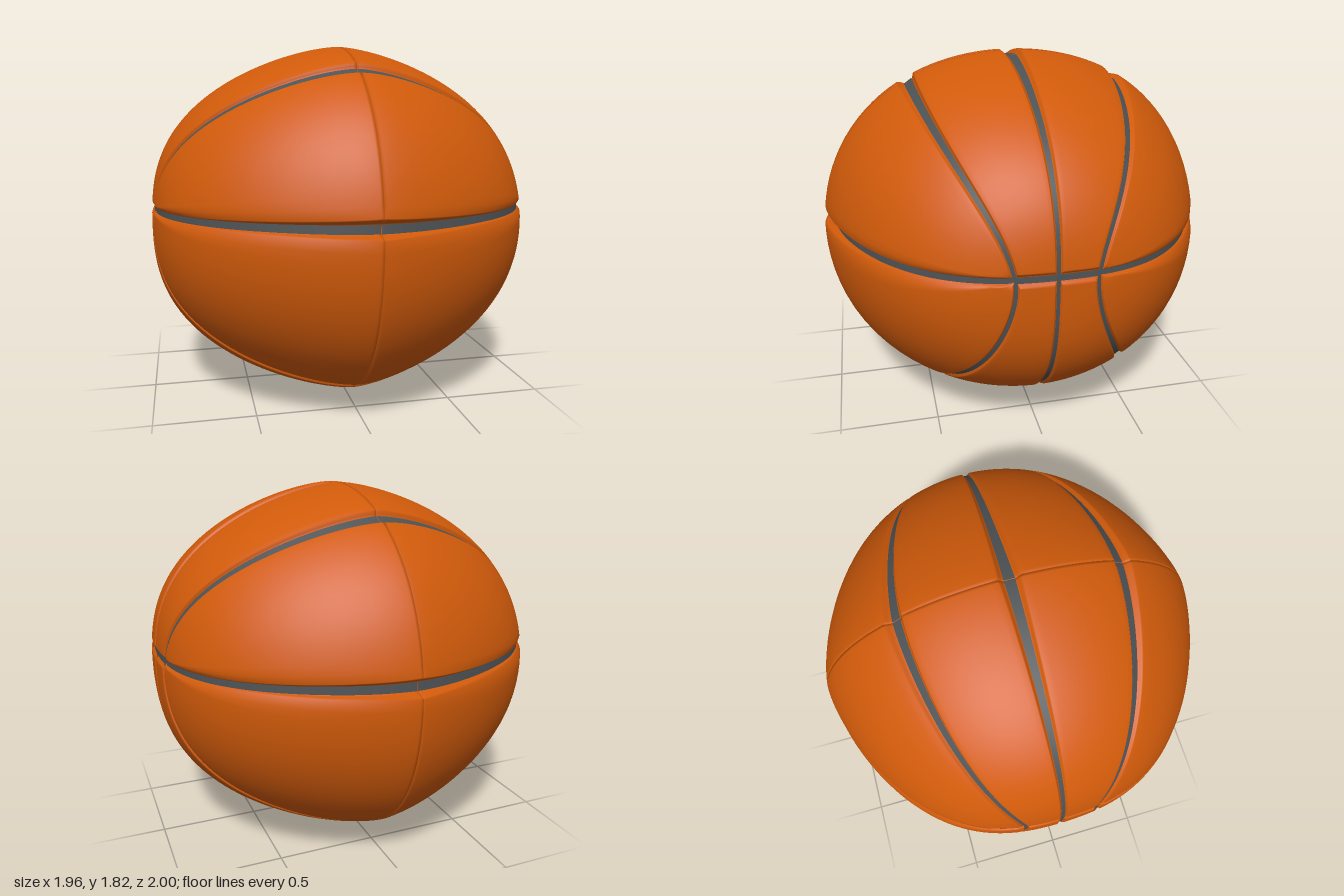
import * as THREE from 'three';

const RY = 0.91;          // half height, also the height of the centre
const V0 = 0.102;         // level of the equator seam on the unit sphere
const RE = Math.sqrt(1 - V0 * V0);
const U_RIM = 0.533, U_POLE = 0.187; // offset of the curved seams at the rim and near the side pole
const V_RIM = Math.sqrt(1 - U_RIM * U_RIM);
const V_MID = 0.05;       // level where the curved seams come closest together
const GAP = 0.0015;       // half of the hairline gap between the two halves
const CENTRE = new THREE.Vector3(0, RY, 0);

const orange = new THREE.MeshStandardMaterial({ color: 0xd05a0a });
const dark = new THREE.MeshStandardMaterial({ color: 0x4c5154, side: THREE.DoubleSide });

// Seam grooves: half width, depth, and how much each shrinks towards the side pole
const MERIDIAN = { w: 0.057, d: 0.03, wt: 0.68, dt: 0.6 };
const EQUATOR = { w: 0.048, d: 0.058, wt: 0.35, dt: 0.72 };
const grooveWidth = (s, cx) => s.w * (1 - s.wt * cx);
const grooveDepth = (s, cx) => s.d * (1 - s.dt * cx);

// Seam paths on the unit sphere, from the rim (t = 0) to the equator or pole (t = 1)
const sphere = (u, v) => new THREE.Vector3(Math.sqrt(Math.max(0, 1 - u * u - v * v)), v, u);
const { lerp, smoothstep } = THREE.MathUtils;

function middlePath(t, sy) {
  const a = lerp(sy * Math.PI / 2, Math.asin(V0), t);
  return new THREE.Vector3(Math.cos(a), Math.sin(a), 0);
}
function curvedPath(t, sy, sz) {
  const v = lerp(V0, sy * V_RIM, Math.max(0, Math.cos(t * Math.PI / 2)));
  const q = Math.abs(v - V_MID) / Math.abs(sy * V_RIM - V_MID);
  const spread = lerp(q ** 1.6, smoothstep(q, 0, 1), 0.3);
  return sphere(sz * lerp(U_POLE, U_RIM, spread), v);
}
function equatorPath(t, sz, end) {
  const a = lerp(Math.PI / 2, end, t);
  return new THREE.Vector3(RE * Math.cos(a), V0, sz * RE * Math.sin(a));
}
// Both curved seams meet the equator at this angle
const CROSSING = Math.asin(curvedPath(1, 1, 1).z / RE);

// Sphere direction to the ball surface: blunt side poles, a soft ridge at x = 0
function place(p, sx) {
  const r = Math.sqrt(Math.max(0, 1 - p.x * p.x));
  const x = GAP + 0.977 * Math.max(0, 1 - r ** 2.6) ** 0.67;
  const bulge = 1 + 0.08 * p.y * p.y * p.z * p.z;
  return new THREE.Vector3(sx * x, RY + RY * p.y * bulge, p.z * bulge);
}
const sink = (p, depth) => p.addScaledVector(p.clone().sub(CENTRE).normalize(), -depth);

function gridMesh(points, cols, rows, flip, material, name) {
  const index = [];
  for (let j = 0; j < rows - 1; j++) {
    for (let i = 0; i < cols - 1; i++) {
      const a = j * cols + i, b = a + 1, c = a + cols, d = c + 1;
      if (flip) index.push(a, c, b, b, c, d);
      else index.push(a, b, c, b, d, c);
    }
  }
  const geometry = new THREE.BufferGeometry().setFromPoints(points);
  geometry.setIndex(index);
  geometry.computeVertexNormals();
  const mesh = new THREE.Mesh(geometry, material);
  mesh.name = name;
  return mesh;
}

// Sample positions crowded near the seams, in multiples of the groove width
const FLOOR = 0.42;
const NEAR = [0, FLOOR, 0.58, 0.72, 0.86, 1];
function crowded(step, bothEnds, middle) {
  const e = Math.min(step, bothEnds ? 0.4 : 0.8);
  const start = bothEnds ? e : 0;
  const list = bothEnds ? NEAR.map(n => n * e) : [0];
  for (let i = 1; i < middle; i++) list.push(lerp(start, 1 - e, i / middle));
  return list.concat(NEAR.map(n => 1 - n * e).reverse());
}

function groove(seam, distance, cx) {
  const w = grooveWidth(seam, cx);
  return grooveDepth(seam, cx) * (1 - smoothstep(distance, FLOOR * w, w));
}

// One panel between two seam paths, optionally closed by a third seam at its end
function panel(pathA, pathB, seamA, seamB, seamEnd, sx, flip, name) {
  const rows = seamEnd ? crowded(0.03, false, 40) : Array.from({ length: 45 }, (_, i) => i / 44);
  rows.unshift(0); // extra row for the short wall turned in at the rim
  const points = [];
  const at = (a, b) => pathA(b).lerp(pathB(b), a).normalize();
  let cols = 0;
  rows.forEach((b, j) => {
    const A = place(pathA(b), sx), B = place(pathB(b), sx);
    const step = grooveWidth(seamA, pathA(b).x) / Math.max(A.distanceTo(B), 1e-4);
    const samples = crowded(step, true, 14);
    cols = samples.length;
    for (const a of samples) {
      const s = at(a, b), p = place(s, sx);
      let depth = Math.max(groove(seamA, p.distanceTo(A), s.x), groove(seamB, p.distanceTo(B), s.x));
      if (seamEnd) depth = Math.max(depth, groove(seamEnd, p.distanceTo(place(at(a, 1), sx)), s.x));
      points.push(sink(p, j === 0 ? depth + 0.015 : depth));
    }
  });
  return gridMesh(points, cols, rows.length, flip, orange, name);
}

// Dark strip lying on the floor of a groove
function ribbon(path, seam, sx, name) {
  const n = 96, points = [];
  for (let i = 0; i <= n; i++) {
    const t = i / n, s = path(t), p = place(s, sx);
    const tangent = place(path(Math.min(1, t + 0.01)), sx).sub(place(path(Math.max(0, t - 0.01)), sx));
    const side = tangent.cross(p.clone().sub(CENTRE)).normalize();
    if (s.x < 1e-3) side.setX(0).normalize();
    const half = 0.47 * grooveWidth(seam, s.x);
    sink(p, grooveDepth(seam, s.x) - 0.003);
    for (const k of [-1, 0, 1]) points.push(p.clone().addScaledVector(side, k * half));
  }
  return gridMesh(points, 3, n + 1, sx < 0, dark, name);
}

export function createModel() {
  const ball = new THREE.Group();
  ball.name = 'ball';
  for (const sx of [1, -1]) {
    const half = new THREE.Group();
    half.name = sx > 0 ? 'leftHalf' : 'rightHalf';
    for (const sy of [1, -1]) {
      const middle = t => middlePath(t, sy);
      for (const sz of [1, -1]) {
        const curved = t => curvedPath(t, sy, sz);
        const equator = t => equatorPath(t, sz, CROSSING);
        const flip = sx * sy * sz < 0;
        half.add(panel(middle, curved, MERIDIAN, MERIDIAN, EQUATOR, sx, flip, 'innerPanel'));
        half.add(panel(curved, equator, MERIDIAN, EQUATOR, null, sx, flip, 'outerPanel'));
        half.add(ribbon(curved, MERIDIAN, sx, 'curvedSeam'));
      }
      half.add(ribbon(middle, MERIDIAN, sx, 'middleSeam'));
    }
    half.add(ribbon(t => equatorPath(t, 1, -Math.PI / 2), EQUATOR, sx, 'equatorSeam'));
    ball.add(half);
  }
  return ball;
}
